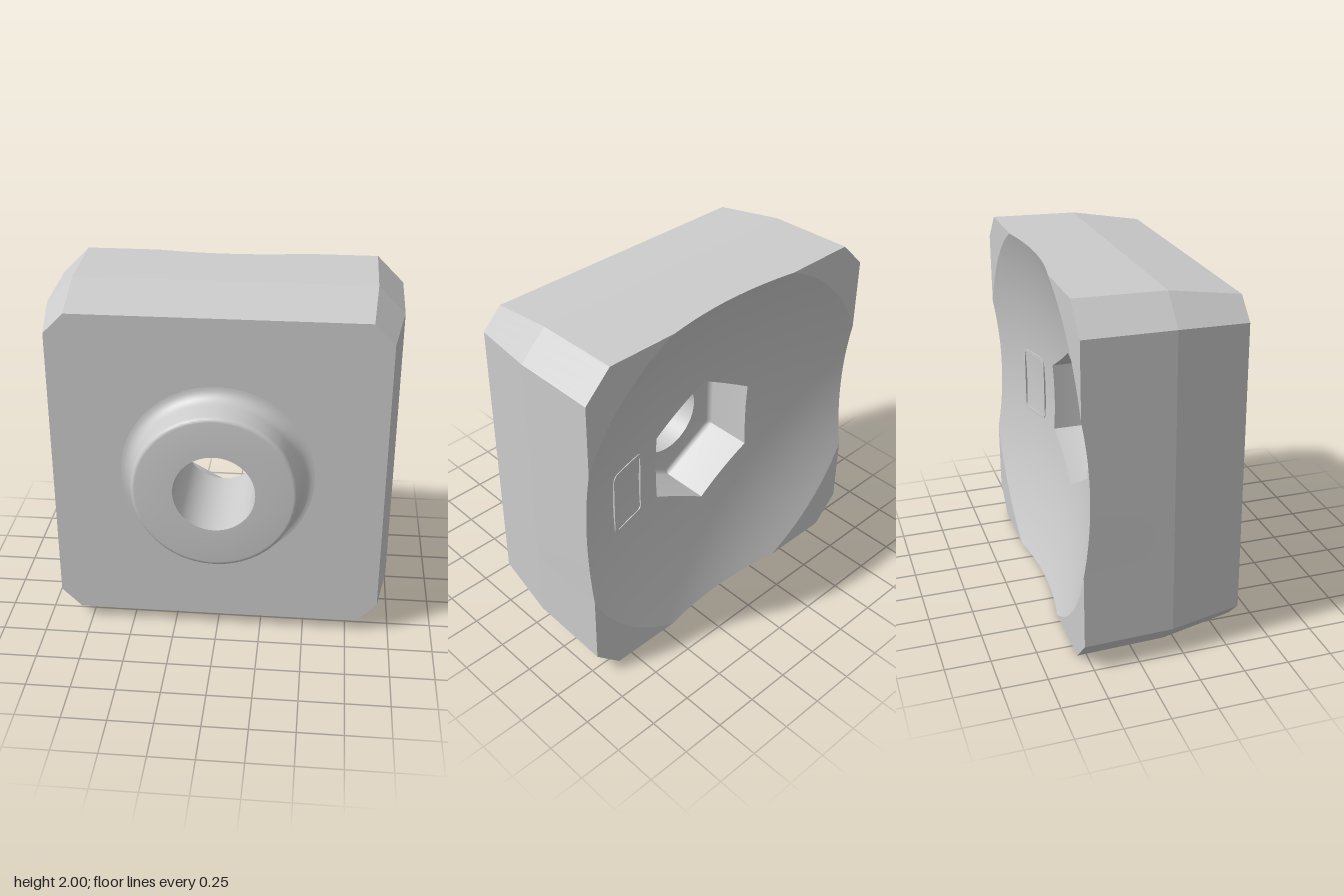
import * as THREE from 'three';
import { toCreasedNormals } from 'three/addons/utils/BufferGeometryUtils.js';

const BACK = -0.55, FRONT = 0.34, FLOOR = -0.04, TIP = 0.55;
const CUT = 0.845;                       // where the corner chamfers start
const BORE = 0.225, HEX = 0.355;         // bore radius, hex half width across flats
const DISH = 1.088, CURVE = 2.3;         // dish rim radius, sphere centre distance

// Shared angles: an even spread plus every corner direction
const rad = THREE.MathUtils.degToRad;
const degrees = new Set();
for (let d = 0; d < 360; d += 3) degrees.add(d);
const corner = THREE.MathUtils.radToDeg(Math.atan(CUT));
const rimCross = THREE.MathUtils.radToDeg(Math.atan(Math.sqrt(DISH * DISH - 1)));
for (let q = 0; q < 360; q += 90)
  for (const d of [corner, -corner, rimCross, -rimCross]) degrees.add((q + d + 360) % 360);
const angles = [...degrees].sort((a, b) => a - b).map(rad);

const octagonRadius = (a) => {
  const c = Math.abs(Math.cos(a)), s = Math.abs(Math.sin(a));
  return Math.min(1 / Math.max(c, s), (1 + CUT) / (c + s));
};
const hexRadius = (a, apothem) => {
  const sector = Math.PI / 3;
  return apothem / Math.cos(a - Math.round(a / sector) * sector);
};
const dishZ = (r) => BACK + Math.max(0, Math.sqrt(CURVE ** 2 + DISH ** 2 - r * r) - CURVE);

// Rings are arrays of points, one per shared angle
const ring = (radius, z) => angles.map((a) => {
  const r = radius(a);
  return new THREE.Vector3(r * Math.cos(a), 1 + r * Math.sin(a), typeof z === 'number' ? z : z(r));
});
const circle = (r, z) => ring(() => r, z);

// Chamfered square of a given half width, matched point for point to the back outline
const outline = (half, cut, z) => angles.map((a) => {
  const remap = (v) => {
    const u = Math.abs(v);
    const m = u <= CUT ? (u * cut) / CUT : cut + ((u - CUT) / (1 - CUT)) * (half - cut);
    return Math.sign(v) * m;
  };
  const r = octagonRadius(a);
  return new THREE.Vector3(remap(r * Math.cos(a)), 1 + remap(r * Math.sin(a)), z);
});

// Skin between successive rings
function loft(rings, crease) {
  const positions = [];
  const tri = (...p) => {
    if (new THREE.Triangle(...p).getArea() > 1e-8) p.forEach((v) => positions.push(v.x, v.y, v.z));
  };
  for (let j = 0; j + 1 < rings.length; j++)
    for (let i = 0; i < angles.length; i++) {
      const k = (i + 1) % angles.length, inner = rings[j], outer = rings[j + 1];
      tri(inner[i], inner[k], outer[i]);
      tri(inner[k], outer[k], outer[i]);
    }
  const geometry = new THREE.BufferGeometry();
  geometry.setAttribute('position', new THREE.Float32BufferAttribute(positions, 3));
  return toCreasedNormals(geometry, crease);
}

export function createModel() {
  const group = new THREE.Group();
  const material = new THREE.MeshStandardMaterial({ color: 0xcccccc });
  const add = (name, geometry) => {
    const mesh = new THREE.Mesh(geometry, material);
    mesh.name = name;
    group.add(mesh);
    return mesh;
  };

  // Hexagonal nut pocket with a softened floor edge
  add('hexPocket', loft([
    circle(BORE, FLOOR),
    ring((a) => hexRadius(a, HEX - 0.025), FLOOR),
    ring((a) => hexRadius(a, HEX - 0.007), FLOOR - 0.007),
    ring((a) => hexRadius(a, HEX), FLOOR - 0.025),
    ring((a) => hexRadius(a, HEX), dishZ),
  ], 0.85));

  // Spherical dish on the back, with flat corners outside its rim
  const dishRings = [];
  const steps = 14;
  for (let s = 0; s <= steps; s++)
    dishRings.push(ring((a) => THREE.MathUtils.lerp(
      hexRadius(a, HEX), Math.min(DISH, octagonRadius(a)), s / steps), dishZ));
  const backEdge = ring(octagonRadius, dishZ);
  add('backDish', loft([...dishRings, backEdge], 0.3));

  // Side walls with slight draft, then the steeper taper and the front face
  const middle = outline(0.992, 0.84, -0.06);
  const frontEdge = outline(0.927, 0.813, FRONT);
  add('blockSides', loft([backEdge, middle, frontEdge], 0.04));
  add('frontFace', loft([frontEdge, circle(0.54, FRONT)], 0.04));

  // Round boss: root fillet, tapered wall, rounded tip
  const boss = [];
  for (let i = 0; i <= 8; i++) {
    const t = (i / 8) * Math.PI / 2;
    boss.push(circle(0.54 - 0.075 * Math.sin(t), FRONT + 0.075 * (1 - Math.cos(t))));
  }
  for (let i = 0; i <= 5; i++) {
    const t = (i / 5) * Math.PI / 2;
    boss.push(circle(0.43 + 0.025 * Math.cos(t), TIP - 0.025 * (1 - Math.sin(t))));
  }
  add('boss', loft([...boss, circle(BORE, TIP)], 0.6));
  add('bore', loft([circle(BORE, TIP), circle(BORE, FLOOR)], 0.6));

  // Plain rounded frame lying on the dish beside the pocket
  const roundedRect = (target, w, h, r) => {
    [[1, -1, -90], [1, 1, 0], [-1, 1, 90], [-1, -1, 180]].forEach(([sx, sy, d]) =>
      target.absarc(sx * (w / 2 - r), sy * (h / 2 - r), r, rad(d), rad(d + 90)));
    return target.closePath();
  };
  const frameShape = roundedRect(new THREE.Shape(), 0.26, 0.4, 0.04);
  frameShape.holes.push(roundedRect(new THREE.Path(), 0.225, 0.365, 0.025));
  const frame = add('frame', new THREE.ExtrudeGeometry(frameShape,
    { depth: 0.024, bevelEnabled: false, curveSegments: 6 }));
  const x = 0.61;
  frame.rotation.y = Math.asin(x / Math.hypot(CURVE, DISH));
  frame.position.set(x, 1, dishZ(x) - 0.014);

  return group;
}
